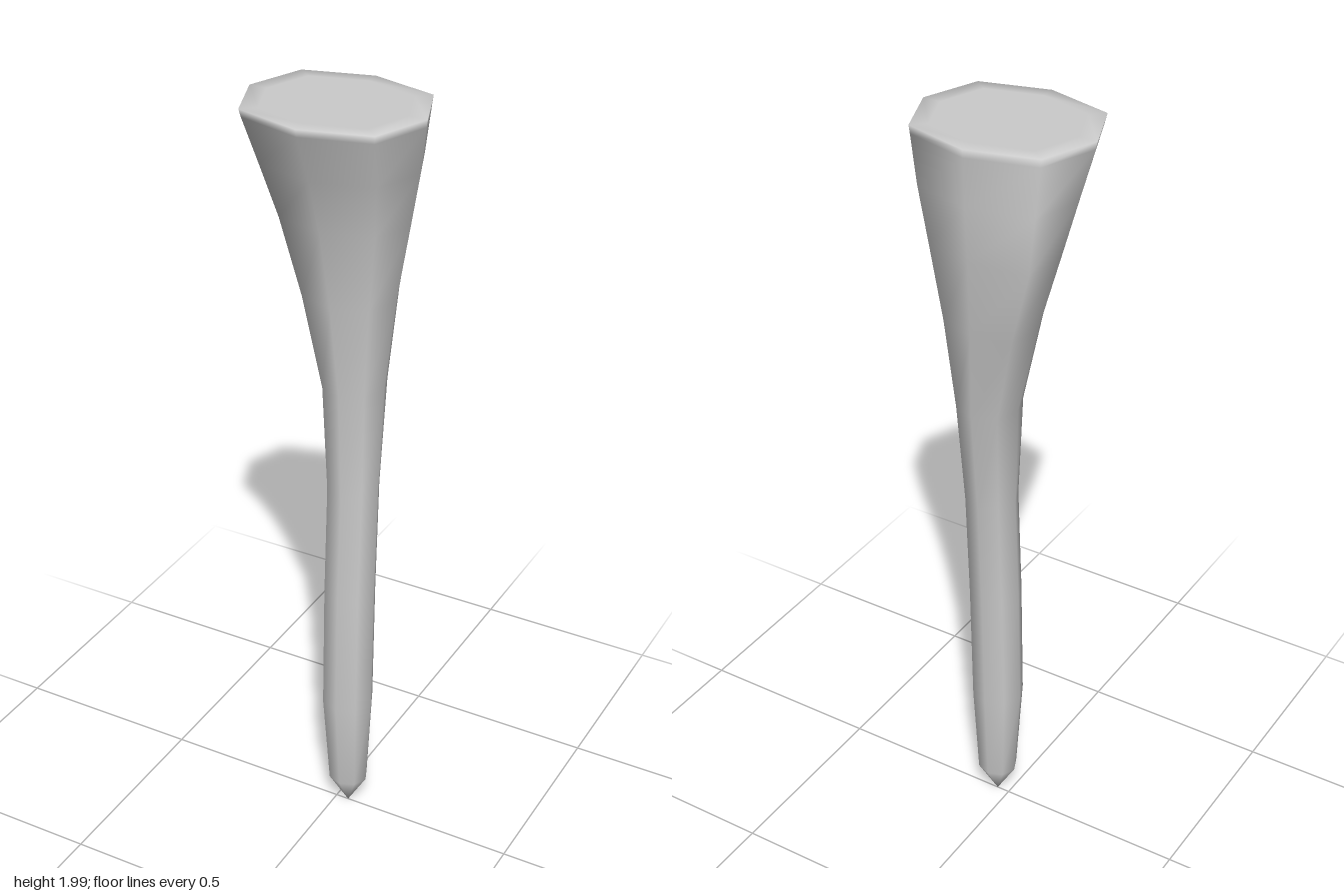
import * as THREE from 'three';

const SIDES = 8;

// Cross-sections from tip to cap: [y, xMin, xMax, zMin, zMax, diagonal scale, extra swell of the back right corner]
const SECTIONS = [
  [0.01, 0.035, 0.035, 0, 0, 1, 1],
  [0.1, -0.018, 0.088, -0.05, 0.05, 1, 1],
  [0.36, -0.034, 0.102, -0.065, 0.069, 1, 1],
  [0.7, -0.034, 0.102, -0.075, 0.06, 1, 1],
  [1.0, -0.034, 0.102, -0.09, 0.043, 1, 1],
  [1.28, -0.05, 0.108, -0.122, 0.045, 1.02, 1.06],
  [1.52, -0.105, 0.135, -0.145, 0.062, 1.05, 1.15],
  [1.72, -0.162, 0.17, -0.168, 0.09, 1.06, 1.23],
  [1.86, -0.195, 0.2, -0.18, 0.137, 1.067, 1.1],
  [1.98, -0.221, 0.221, -0.187, 0.182, 1.067, 1],
  [2.0, -0.225, 0.225, -0.188, 0.188, 1.067, 1],
  [2.0, -0.18, 0.18, -0.15, 0.15, 1.067, 1],
  [2.0, 0, 0, 0, 0, 1, 1],
];

// Skin of eight-sided rings, smooth shaded
function loft(sections) {
  const positions = [];
  const indices = [];
  sections.forEach(([y, x0, x1, z0, z1, diagonal, swell], r) => {
    for (let i = 0; i < SIDES; i++) {
      const a = (i / SIDES) * Math.PI * 2;
      const k = (i % 2 ? diagonal : 1) * (i === 5 ? swell : 1);
      positions.push(
        (x0 + x1) / 2 + ((x1 - x0) / 2) * Math.cos(a) * k,
        y,
        (z0 + z1) / 2 + ((z1 - z0) / 2) * Math.sin(a) * k
      );
      if (r === sections.length - 1) continue;
      const p = r * SIDES + i;
      const next = r * SIDES + ((i + 1) % SIDES);
      indices.push(p, p + SIDES, next, next, p + SIDES, next + SIDES);
    }
  });
  const geometry = new THREE.BufferGeometry();
  geometry.setAttribute('position', new THREE.Float32BufferAttribute(positions, 3));
  geometry.setIndex(indices);
  geometry.computeVertexNormals();
  // Collapsed rings at the cap centre and the tip
  const normals = geometry.attributes.normal;
  for (let i = 0; i < SIDES; i++) {
    normals.setXYZ(i, 0, -1, 0);
    normals.setXYZ(normals.count - 1 - i, 0, 1, 0);
  }
  return geometry;
}

export function createModel() {
  const model = new THREE.Group();
  model.name = 'flaredSpike';

  // Pointed shaft flaring into a flat oval head
  const body = new THREE.Mesh(
    loft(SECTIONS),
    new THREE.MeshStandardMaterial({ color: 0xcccccc })
  );
  body.name = 'spikeBody';
  model.add(body);

  return model;
}
